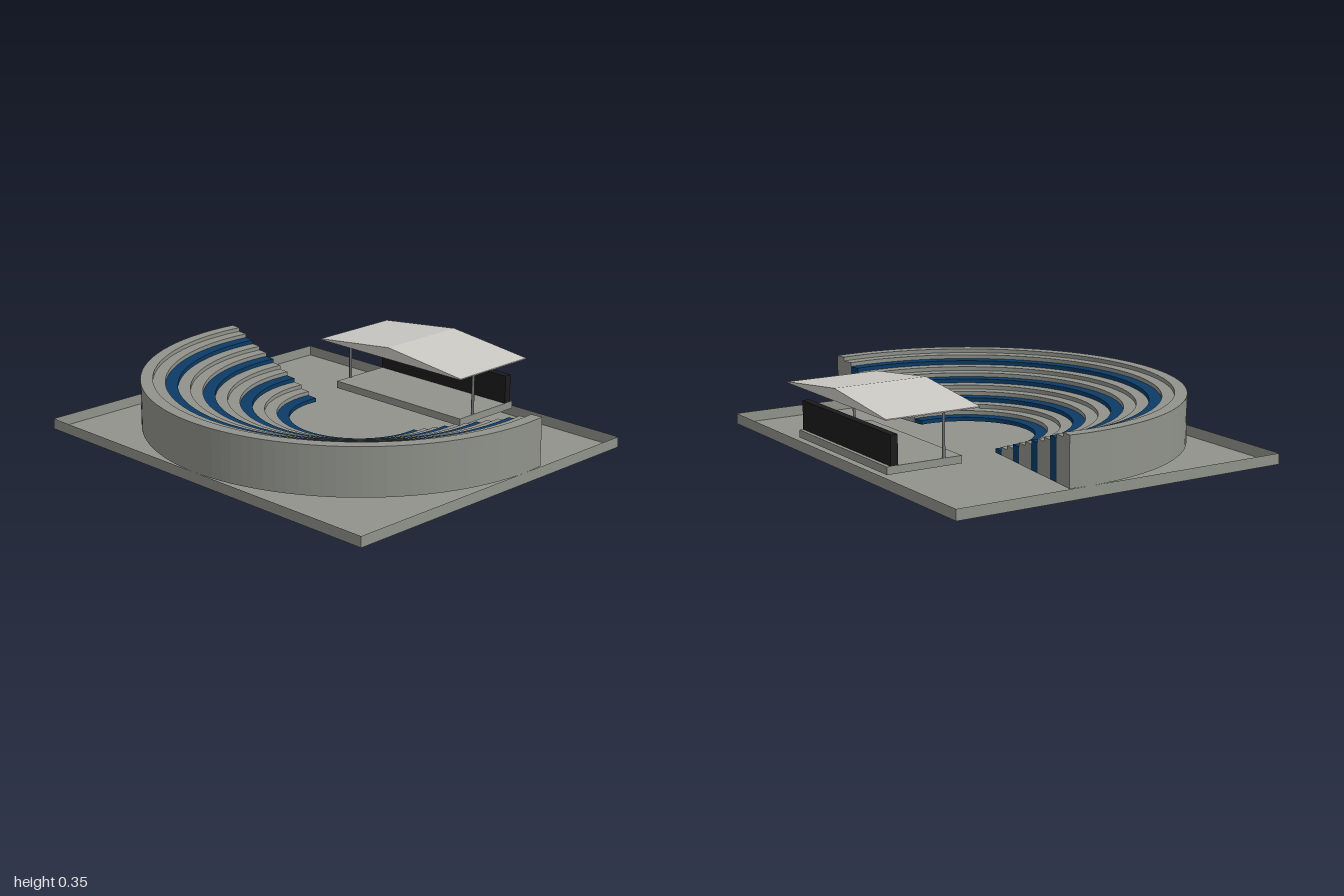
import * as THREE from 'three';

const mat = (name, color, side = THREE.FrontSide) => {
  const m = new THREE.MeshStandardMaterial({ color, side });
  m.name = name;
  return m;
};

export function createModel() {
  const concrete = mat('concrete', 0x90928b, THREE.DoubleSide);
  const seatBlue = mat('seatBlue', 0x0b3b66);
  const roofGrey = mat('roofGrey', 0xcbc9c4);
  const screenBlack = mat('screenBlack', 0x1b1b1b);
  const postGrey = mat('postGrey', 0x707375);

  const model = new THREE.Group();
  model.name = 'amphitheatre';
  const add = (name, geometry, material, x = 0, y = 0, z = 0, parent = model) => {
    const mesh = new THREE.Mesh(geometry, material);
    mesh.name = name;
    mesh.position.set(x, y, z);
    parent.add(mesh);
    return mesh;
  };

  // Ground tray: thin-walled box open at the top
  const baseH = 0.05;
  const tray = new THREE.BoxGeometry(2, baseH, 1.66);
  const faces = Array.from(tray.index.array);
  faces.splice(12, 6); // drop the top face
  tray.setIndex(faces);
  tray.clearGroups();
  add('groundTray', tray, concrete, 0, baseH / 2, 0);

  // Seating: concentric solid ring sectors, each one step higher
  const seating = new THREE.Group();
  seating.name = 'seating';
  model.add(seating);
  const bands = 12, rIn = 0.32, rOut = 1, rise = 0.225 / bands;
  const width = (rOut - rIn) / bands;
  const over = THREE.MathUtils.degToRad(6.6);
  const a0 = Math.PI - over, a1 = 2 * Math.PI + over;
  for (let i = 0; i < bands; i++) {
    const r = rIn + i * width;
    const sector = new THREE.Shape();
    sector.absarc(0, 0, r + width, a0, a1, false);
    sector.absarc(0, 0, r, a1, a0, true);
    const geo = new THREE.ExtrudeGeometry(sector, {
      depth: rise * (i + 1), bevelEnabled: false, curveSegments: 32,
    });
    geo.rotateX(-Math.PI / 2);
    const isSeat = i % 3 === 0;
    add(isSeat ? 'seatRow' : 'step', geo, isSeat ? seatBlue : concrete, 0, baseH, -0.17, seating);
  }

  // Stage platform and back screen
  add('stage', new THREE.BoxGeometry(0.8, 0.035, 0.37), concrete, 0, 0.0675, -0.615);
  add('backScreen', new THREE.BoxGeometry(0.8, 0.135, 0.035), screenBlack, 0, 0.1525, -0.764);

  // Roof posts
  for (const side of [-1, 1]) {
    add(side > 0 ? 'leftPost' : 'rightPost',
      new THREE.CylinderGeometry(0.007, 0.007, 0.215, 8), postGrey, side * 0.396, 0.1925, -0.52);
  }

  // Low gabled roof with its ridge running front to back
  const gable = new THREE.Shape([
    new THREE.Vector2(-0.45, 0.297), new THREE.Vector2(0.45, 0.297),
    new THREE.Vector2(0.45, 0.302), new THREE.Vector2(0, 0.353),
    new THREE.Vector2(-0.45, 0.302),
  ]);
  add('roof', new THREE.ExtrudeGeometry(gable, { depth: 0.46, bevelEnabled: false }),
    roofGrey, 0, 0, -0.83);

  return model;
}
